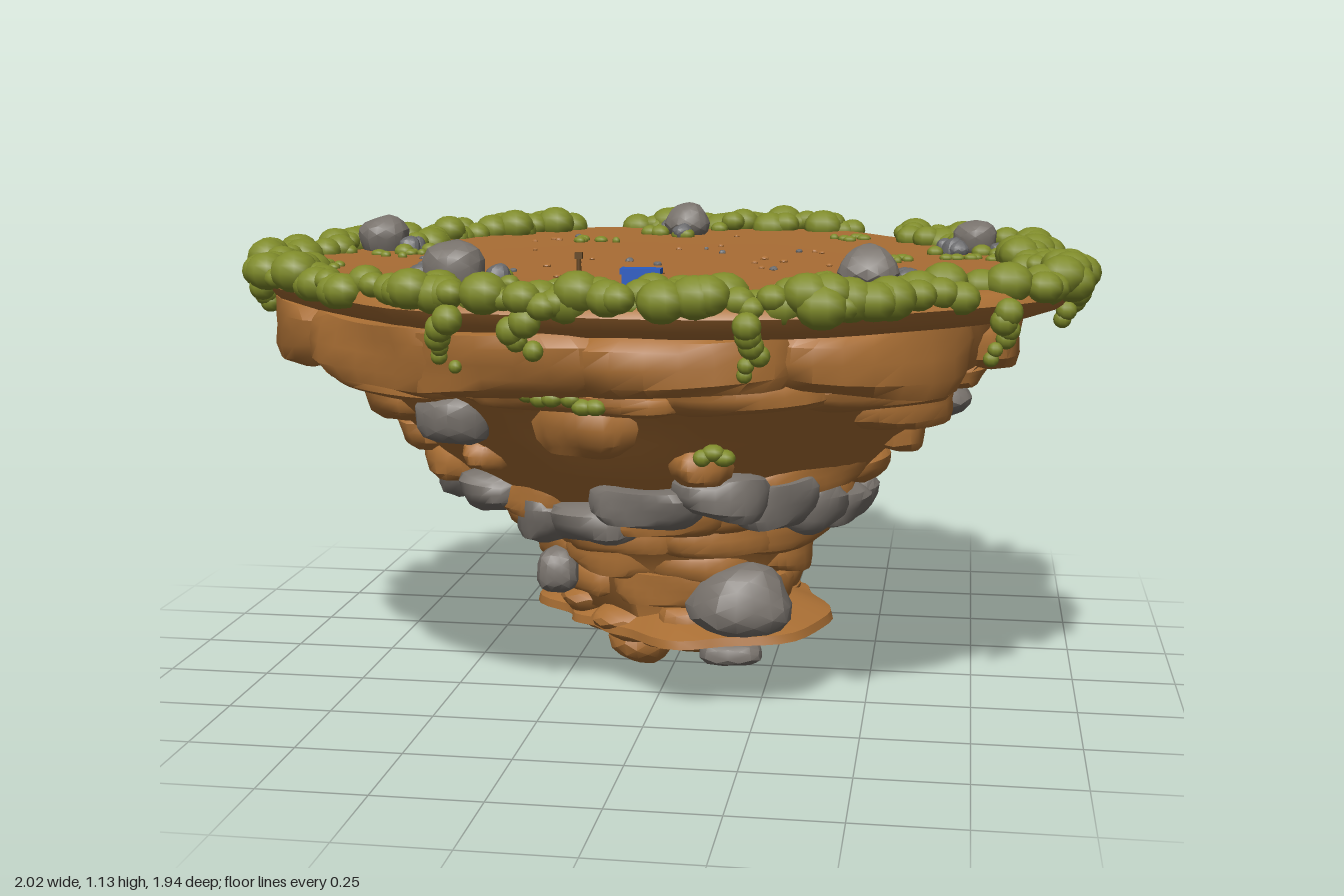
import * as THREE from 'three';
import { mergeGeometries, mergeVertices, toCreasedNormals } from 'three/addons/utils/BufferGeometryUtils.js';

const mat = (name, color) => Object.assign(new THREE.MeshStandardMaterial({ color }), { name });
let seed = 7;
const rnd = (a = 0, b = 1) => {
  seed = (seed * 16807) % 2147483647;
  return a + (b - a) * seed / 2147483647;
};

// plateau outline as x, z pairs, turned into a radius for each bearing (0 = front, + = left)
const OUTLINE = [
  [0, -0.92], [0.35, -0.91], [0.43, -0.84], [0.53, -0.7], [0.7, -0.52], [0.89, -0.36], [0.91, -0.05], [0.95, 0.19],
  [0.93, 0.42], [0.85, 0.53], [0.64, 0.71], [0.44, 0.85], [0.2, 0.91], [-0.18, 0.89], [-0.46, 0.84],
  [-0.61, 0.72], [-0.87, 0.47], [-0.95, 0.24], [-0.91, -0.03], [-0.81, -0.32], [-0.61, -0.62],
  [-0.42, -0.88], [-0.24, -0.93],
].map(([x, z]) => [Math.atan2(x, z), Math.hypot(x, z)]).sort((p, q) => p[0] - q[0]);
function outline(a) {
  const n = OUTLINE.length, T = Math.PI * 2;
  a = THREE.MathUtils.euclideanModulo(a - OUTLINE[0][0], T) + OUTLINE[0][0];
  for (let i = 0; i < n; i++) {
    const p = OUTLINE[i], q = OUTLINE[(i + 1) % n], end = q[0] + (i === n - 1 ? T : 0);
    if (a <= end) return p[1] + (q[1] - p[1]) * (a - p[0]) / (end - p[0]);
  }
  return 0.9;
}

// tapering cliff: share of the outline at each height, stretched along one diagonal near the neck
const PROFILE = [[0, 0.08], [0.05, 0.1], [0.2, 0.15], [0.31, 0.2], [0.32, 0.3], [0.39, 0.4], [0.5, 0.5],
  [0.61, 0.6], [0.71, 0.7], [0.77, 0.78], [0.86, 0.86], [0.88, 0.98]];
function share(y) {
  for (let i = 1; i < PROFILE.length; i++) {
    const [s0, y0] = PROFILE[i - 1], [s1, y1] = PROFILE[i];
    if (y <= y1) return s0 + (s1 - s0) * Math.max(0, (y - y0) / (y1 - y0));
  }
  return 0.88;
}
const { clamp, lerp } = THREE.MathUtils;
const diagonal = a => Math.cos(2 * (a - Math.PI / 4));
function cliff(a, y) {
  const neck = clamp((0.5 - y) / 0.2, 0, 1);
  const steepLeft = 0.055 * Math.max(0, Math.sin(a)) ** 2 * clamp((y - 0.4) / 0.2, 0, 1);
  return share(y) * lerp(0.92, outline(a), clamp((y - 0.2) / 0.6, 0, 1)) * (1 + 0.12 * neck * diagonal(a)) - steepLeft;
}
const polar = (a, r, y) => [Math.sin(a) * r, y, Math.cos(a) * r];

function reshape(geo, rule, crease = 0.6) {
  const p = geo.attributes.position;
  for (let i = 0; i < p.count; i++) p.setXYZ(i, ...rule(p.getX(i), p.getY(i), p.getZ(i)));
  geo.deleteAttribute('uv');
  geo.deleteAttribute('normal');
  return toCreasedNormals(mergeVertices(geo, 1e-4), crease);
}

// rounded stone slab bent around the axis: bearing, height, middle radius and half sizes
function slab(a, y, r, da, h, d, n = 4) {
  const k = rnd(0, 50), tilt = rnd(-0.15, 0.15) * h;
  return reshape(new THREE.BoxGeometry(2, 2, 2, 8, 4, 3), (u, v, w) => {
    const s = (Math.abs(u) ** n + Math.abs(v) ** n + Math.abs(w) ** n) ** (-1 / n);
    const lump = 1 + 0.1 * Math.sin(u * 3 + k) + 0.12 * Math.sin(v * 2.3 + w * 2 + u * 2 + k * 2);
    const b = a + u * s * da;
    const rad = r(b) + w * s * d * lump - 0.4 * d * u * u + 0.1 * d * v;
    return polar(b, rad, y + v * s * h * lump + tilt * u);
  }, 0.75);
}

// loose worn boulder
function boulder(x, y, z, sx, sy, sz, detail = 2) {
  const k = rnd(0, 50);
  return reshape(new THREE.IcosahedronGeometry(1, detail), (u, v, w) => {
    const f = 1 + 0.08 * Math.sin(u * 4 + k) * Math.cos(w * 3 + k) + 0.05 * Math.sin(v * 5 + k);
    return [x + u * f * sx, y + v * f * sy, z + w * f * sz];
  }, 0.45);
}
const ball = (x, y, z, r, ry = r) => new THREE.SphereGeometry(1, 10, 8).scale(r, ry, r).translate(x, y, z);

export function createModel() {
  seed = 7;
  const rock = mat('ochre rock', 0xaa6f34), soil = mat('brown soil', 0xa96d34);
  const stone = mat('grey stone', 0x78726c), darkStone = mat('dark grey stone', 0x68686a);
  const moss = mat('moss green', 0x7f8b2a), blue = mat('blue', 0x275cc4), wood = mat('dark wood', 0x65451f);
  const model = new THREE.Group();
  const add = (name, geos, material) => {
    const list = [].concat(geos);
    const mesh = new THREE.Mesh(list.length > 1 ? mergeGeometries(list) : list[0], material);
    mesh.name = name;
    model.add(mesh);
  };
  const lathe = (pts, rule, crease) =>
    reshape(new THREE.LatheGeometry(pts.map(p => new THREE.Vector2(...p)), 72), rule, crease);
  const byOutline = (x, y, z) => {
    const f = outline(Math.atan2(x, z));
    return [x * f, y, z * f];
  };

  // cliff core, hollowed a little at the front
  add('cliffCore', lathe(PROFILE, (x, y, z) => {
    const a = Math.atan2(x, z);
    const hollow = Math.abs(a) < 0.9 && y > 0.55 && y < 0.85 ? 0.02 * Math.cos(a * 1.7) : 0;
    return polar(a, cliff(a, y) - hollow, y);
  }, 1), rock);

  // plateau rim and flat ground
  add('plateauRim', lathe([[0.7, 0.95], [0.91, 0.96], [0.98, 0.985], [1, 1.012], [0.985, 1.035], [0.95, 1.04]],
    byOutline, 0.9), rock);
  add('ground', lathe([[0.95, 1.04], [0.88, 1.038], [0.5, 1.036], [0, 1.036]], byOutline, 1), soil);

  // rows of overlapping slabs: height, half height, count, depth
  const slabs = [];
  const rows = [[0.9, 0.072, 11, 0.08], [0.815, 0.034, 12, 0.055], [0.74, 0.048, 12, 0.05], [0.66, 0.046, 12, 0.05],
    [0.58, 0.044, 11, 0.048], [0.5, 0.044, 11, 0.043], [0.425, 0.04, 9, 0.035], [0.35, 0.042, 8, 0.03],
    [0.275, 0.042, 8, 0.03]];
  rows.forEach(([y, h, n, d], row) => {
    for (let i = 0; i < n; i++) {
      const a = (i + 0.5 * (row % 2) + rnd(-0.25, 0.25)) / n * Math.PI * 2 - Math.PI;
      const wrapped = Math.atan2(Math.sin(a), Math.cos(a));
      if (y > 0.53 && y < 0.78 && Math.abs(wrapped) < 0.8) continue;
      const bulge = y > 0.85 && wrapped < -0.9 && wrapped > -1.7 ? 0.05 : 0;
      const out = rnd(-0.02, 0.01) + bulge;
      slabs.push(slab(a, y + rnd(-0.015, 0.015), b => cliff(b, y) + out,
        Math.PI / n * rnd(1, 1.35), h * rnd(0.85, 1.2), d));
    }
  });
  add('cliffSlabs', slabs, rock);

  // smooth round bosses on the front face
  add('frontBosses', [[-0.15, 0.742, 0.19, 0.075], [-0.66, 0.635, 0.09, 0.042], [0.25, 0.64, 0.13, 0.05]]
    .map(([a, y, da, h]) => slab(a, y, b => cliff(b, y) - 0.01, da, h, 0.05, 2.2)), rock);

  // long jagged foot ledge and the lumps around it
  add('footLedge', lathe([[0, 0.07], [0.18, 0.1], [0.3, 0.145], [0.37, 0.165], [0.365, 0.185], [0.27, 0.22], [0, 0.27]],
    (x, y, z) => {
      const a = Math.atan2(x, z), r = Math.hypot(x, z);
      const jag = 0.95 + 0.24 * diagonal(a) + 0.07 * Math.cos(a - 0.8) + 0.03 * Math.sin(a * 7 + 1) + 0.03 * Math.sin(a * 11);
      return polar(a, r * jag, y + r * 0.05 * Math.sin(a));
    }, 0.7), rock);
  const lumps = [boulder(-0.08, 0.08, 0.02, 0.08, 0.076, 0.085), boulder(-0.04, 0.1, -0.05, 0.11, 0.07, 0.1),
    boulder(-0.19, 0.13, -0.06, 0.08, 0.06, 0.08), boulder(0.04, 0.11, 0.05, 0.1, 0.06, 0.09)];
  for (let i = 0; i < 9; i++) {
    const a = i / 9 * Math.PI * 2, far = 1 + 0.2 * diagonal(a + 0.3);
    lumps.push(boulder(...polar(a, rnd(0.13, 0.18), rnd(0.12, 0.15)), 0.08, 0.045, 0.08));
    lumps.push(boulder(...polar(a + 0.3, 0.25 * far, rnd(0.18, 0.21)), 0.085, 0.045, 0.085));
  }
  add('footLumps', lumps, rock);

  // grey stone band round the front and the single grey stones
  const band = [[-1.15, 0.53, 0.17, 0.045], [-0.85, 0.52, 0.17, 0.045], [-0.58, 0.47, 0.2, 0.05],
    [-0.28, 0.475, 0.26, 0.05], [0.02, 0.535, 0.26, 0.048], [0.35, 0.565, 0.22, 0.056], [0.62, 0.535, 0.22, 0.06],
    [0.9, 0.5, 0.2, 0.055], [1.2, 0.475, 0.22, 0.045], [1.5, 0.475, 0.25, 0.048]];
  add('stoneBand', band.map(([a, y, da, h]) => slab(a, y, b => cliff(b, y) + 0.025, da, h, 0.06, 3.2)), stone);
  add('cliffStones', [
    boulder(-0.41, 0.74, 0.56, 0.09, 0.068, 0.08), boulder(0.65, 0.74, 0.15, 0.08, 0.05, 0.07),
    boulder(0.205, 0.258, 0.31, 0.125, 0.095, 0.095), boulder(-0.26, 0.29, 0.19, 0.055, 0.06, 0.06),
    boulder(0.18, 0.135, 0.29, 0.08, 0.035, 0.07),
  ], stone);

  // moss rim in uneven clumps with bare gaps, hanging strands and tufts on the cliff
  const rim = [], strands = [], tufts = [];
  const gaps = [[2.6, 0.13], [-2.76, 0.1], [1.97, 0.06], [-0.63, 0.03], [0.9, 0.05]];
  for (let i = 0; i < 260; i++) {
    const a = i / 260 * Math.PI * 2 - Math.PI, r = rnd(0.028, 0.056);
    if (gaps.some(([g, w]) => Math.abs(a - g) < w)) continue;
    const inward = 0.07 + 0.035 * Math.sin(a * 9);
    rim.push(ball(...polar(a, outline(a) + rnd(-inward, 0.012), rnd(1.03, 1.062)), r, r * 0.85));
  }
  const hanging = [[-0.39, 6], [-0.2, 4], [0.32, 6], [0.95, 6], [1.36, 4], [1.85, 5], [2.4, 5], [3.0, 5], [-2.45, 5], [-1.85, 5], [-1.2, 3]];
  for (const [a, n] of hanging) {
    for (let j = 0; j < n; j++) {
      strands.push(ball(...polar(a + rnd(-0.03, 0.03), outline(a) + 0.01 - j * 0.009, 1.0 - j * 0.021), rnd(0.03, 0.036) - j * 0.0035));
    }
  }
  for (const [a, y] of [[-0.22, 0.825], [-0.1, 0.815], [0.27, 0.685], [1.28, 0.45], [1.42, 0.45]]) {
    for (let j = 0; j < 3; j++) {
      tufts.push(ball(...polar(a + (j - 1) * 0.035, cliff(a, y) + 0.04, y + rnd(-0.01, 0.01)), rnd(0.02, 0.028), 0.019));
    }
  }
  add('mossRim', rim, moss);
  add('hangingMoss', strands, moss);
  add('cliffTufts', tufts, moss);

  // boulders on the ground, each with small stones and moss around it
  const tops = [], smallStones = [], pads = [];
  for (const [x, z, r] of [[-0.4, 0.58, 0.07], [0.5, 0.49, 0.064], [-0.78, -0.14, 0.065], [0.73, -0.31, 0.055], [-0.07, -0.71, 0.06]]) {
    tops.push(boulder(x, 1.068, z, r, r * 0.95, r));
    for (let j = 0; j < 4; j++) {
      const a = rnd(0, 6.28), s = rnd(0.02, 0.032);
      smallStones.push(boulder(x + Math.sin(a) * (r + 0.025), 1.046, z + Math.cos(a) * (r + 0.025), s, s, s));
    }
    for (let j = 0; j < 9; j++) {
      const b = rnd(0, 6.28), m = rnd(0.017, 0.028), far = r + rnd(0.02, 0.08);
      pads.push(ball(x + Math.sin(b) * far, 1.042, z + Math.cos(b) * far, m, m * 0.8));
    }
  }
  // moss patches and pebbles scattered on the ground
  for (const [x, z] of [[-0.28, -0.47], [0.4, -0.6], [0.52, -0.05], [0.72, -0.12], [0.7, 0.3], [-0.8, 0.28], [-0.12, 0.58], [0.15, 0.82], [-0.7, 0.0]]) {
    for (let j = 0; j < 6; j++) pads.push(ball(x + rnd(-0.06, 0.06), 1.04, z + rnd(-0.05, 0.05), rnd(0.01, 0.021), 0.011));
  }
  const pebbles = [];
  for (let i = 0; i < 42; i++) {
    const a = rnd(0, 6.28), r = 0.78 * Math.sqrt(rnd()) * outline(a), s = rnd(0.006, 0.011);
    (i % 4 ? pebbles : smallStones).push(boulder(...polar(a, r, 1.038), s, s * 0.7, s, 1));
  }
  add('groundBoulders', tops, stone);
  add('smallStones', smallStones, darkStone);
  add('groundMoss', pads, moss);
  add('pebbles', pebbles, soil);

  // small blue crate with a lid, and a wooden stake
  add('blueCrate', [new THREE.BoxGeometry(0.08, 0.035, 0.034).translate(0.02, 1.053, 0.615),
    new THREE.BoxGeometry(0.088, 0.012, 0.04).translate(0.02, 1.076, 0.615)], blue);
  add('stake', [new THREE.CylinderGeometry(0.005, 0.006, 0.08, 6).translate(-0.12, 1.07, 0.595),
    new THREE.BoxGeometry(0.016, 0.014, 0.01).translate(-0.12, 1.105, 0.595)], wood);
  return model;
}
